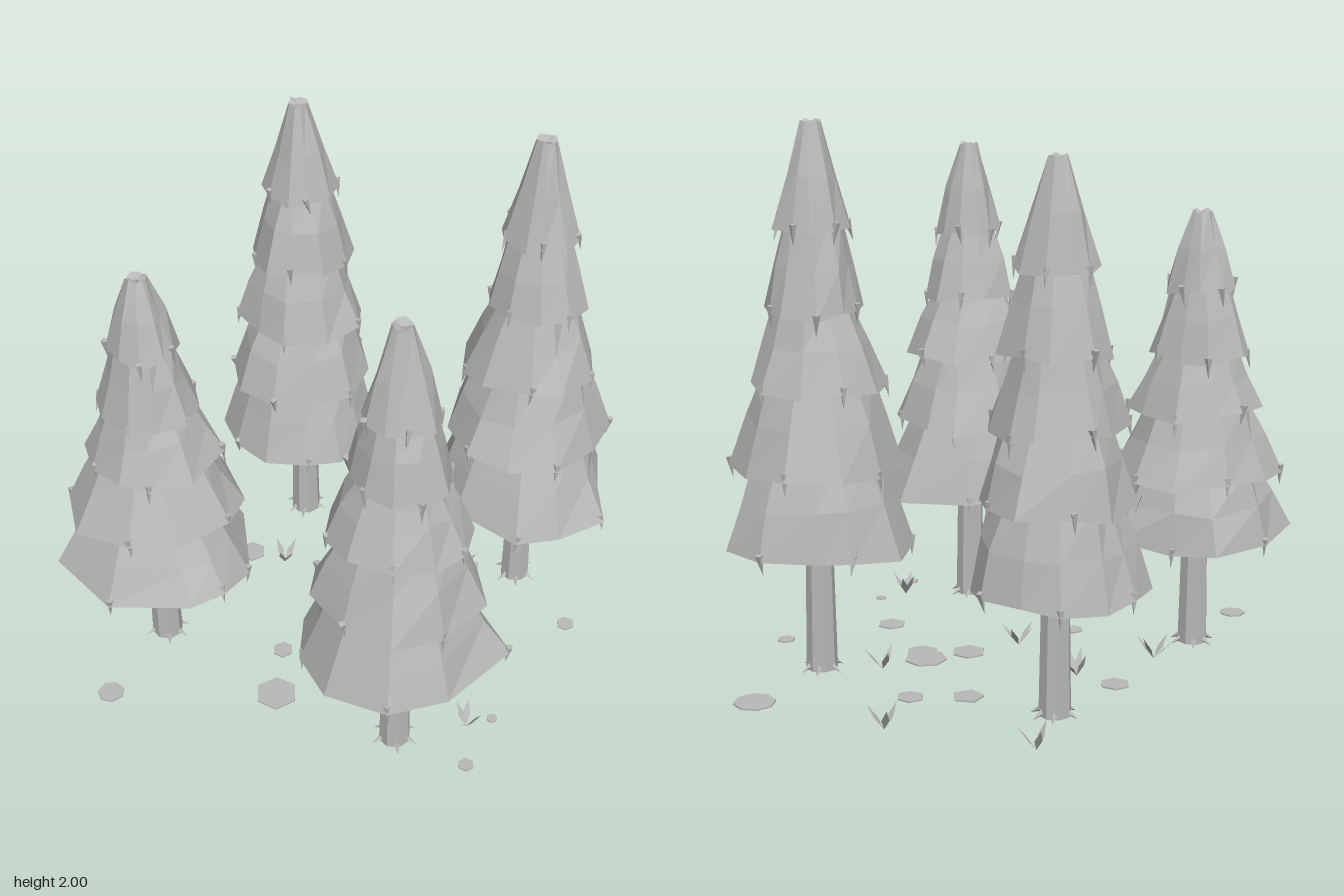
import * as THREE from 'three';

const grey = new THREE.MeshStandardMaterial({ color: 0xb8b8b8, flatShading: true, side: THREE.DoubleSide });
grey.name = 'grey';

// Small seeded random generator, returns -1..1
let seed = 7;
const jitter = () => {
  seed = (seed * 16807) % 2147483647;
  return (seed / 2147483647) * 2 - 1;
};

function add(parent, name, geometry, x = 0, y = 0, z = 0) {
  const mesh = new THREE.Mesh(geometry, grey);
  mesh.name = name;
  mesh.position.set(x, y, z);
  parent.add(mesh);
  return mesh;
}

// Skin a stack of rings (all with the same number of points), bottom to top
function skin(rings) {
  const n = rings[0].length;
  const index = [];
  for (let i = 0; i < rings.length - 1; i++) {
    for (let j = 0; j < n; j++) {
      const a = i * n + j, b = i * n + (j + 1) % n;
      index.push(a, a + n, b, b, a + n, b + n);
    }
  }
  const g = new THREE.BufferGeometry();
  g.setAttribute('position', new THREE.Float32BufferAttribute(rings.flat(2), 3));
  g.setIndex(index);
  g.computeVertexNormals();
  return g;
}

// One skirt of branches: cupped underside, jagged rim, sloping wall, narrow top
function addTier(tree, rim, y, topR, topY, isTop) {
  const rimPts = rim.map(([x, z]) => [x, y + jitter() * 0.02, z]);
  const ring = (r, h, wobble) => rim.map(([x, z]) => {
    const l = Math.hypot(x, z), s = r * (1 + jitter() * wobble) / l;
    return [x * s, h + jitter() * wobble * 0.1, z * s];
  });
  const midY = y + (topY - y) * 0.5;
  const mid = rim.map(([x, z]) => {
    const l = Math.hypot(x, z);
    const s = (l * 0.45 + topR * 0.55 + 0.008 + jitter() * 0.008) / l;
    return [x * s, midY + jitter() * 0.015, z * s];
  });
  const inner = ring(Math.min(0.1, topR * 1.2), y + 0.07, 0.05);
  const rings = [inner, rimPts, mid, ring(topR, topY, 0.1)];
  if (isTop) rings.push(ring(0.004, topY - 0.012, 0));
  add(tree, 'branchTier', skin(rings));

  // Drooping needle tips on every other rim corner
  rimPts.forEach(([x, h, z], i) => {
    if (i % 2) return;
    const tip = add(tree, 'needleTip', new THREE.ConeGeometry(0.014, 0.08, 4).rotateX(Math.PI),
      x * 0.97, h - 0.012, z * 0.97);
    tip.rotation.set(jitter() * 0.2, jitter() * 3, jitter() * 0.2);
  });
}

// Jagged rim for the upper tiers
function makeRim(r, n) {
  const turn = jitter() * 3;
  return Array.from({ length: n }, (_, j) => {
    const a = turn + (j + jitter() * 0.2) / n * Math.PI * 2;
    const l = r * (1 + jitter() * 0.09);
    return [Math.cos(a) * l, Math.sin(a) * l];
  });
}

function addTree(parent, { name, x, z, height, tiers, rim }) {
  const tree = new THREE.Group();
  tree.name = name;
  tree.position.set(x, 0, z);
  parent.add(tree);

  add(tree, 'trunk', new THREE.CylinderGeometry(0.045, 0.058, 0.75, 8), 0, 0.385, 0);
  // Flared roots
  for (let i = 0; i < 6; i++) {
    const a = i / 6 * Math.PI * 2 + jitter() * 0.2;
    const root = add(tree, 'root', new THREE.ConeGeometry(0.018, 0.07, 4), Math.cos(a) * 0.058, 0.022, Math.sin(a) * 0.058);
    root.rotation.set(0, -a, -2.1);
  }

  tiers.forEach(([y, r], i) => {
    const next = tiers[i + 1];
    const edge = i === 0 ? rim.map(([px, pz]) => [px - x, pz - z]) : makeRim(r, 10);
    if (next) addTier(tree, edge, y, next[1] * 0.72, next[0] + 0.04, false);
    else addTier(tree, edge, y, 0.036, height - 0.005, true);
  });
}

// Tree placements, tier heights with radii, and lowest rim corners (x, z)
const TREES = [
  { name: 'backLeftTree', x: -0.465, z: -0.41, height: 1.92,
    tiers: [[0.46, 0.3], [0.76, 0.28], [1.02, 0.24], [1.28, 0.19], [1.55, 0.135]],
    rim: [[-0.17, -0.37], [-0.2, -0.24], [-0.3, -0.16], [-0.46, -0.1], [-0.62, -0.14], [-0.75, -0.25],
      [-0.77, -0.41], [-0.73, -0.53], [-0.62, -0.65], [-0.48, -0.67], [-0.32, -0.66], [-0.2, -0.53]] },
  { name: 'backRightTree', x: 0.48, z: -0.47, height: 2,
    tiers: [[0.49, 0.36], [0.79, 0.31], [1.08, 0.25], [1.34, 0.18], [1.62, 0.135]],
    rim: [[0.86, -0.39], [0.75, -0.22], [0.62, -0.12], [0.35, -0.16], [0.2, -0.27], [0.13, -0.46],
      [0.2, -0.65], [0.32, -0.7], [0.5, -0.79], [0.68, -0.75], [0.76, -0.56]] },
  { name: 'frontLeftTree', x: -0.56, z: 0.49, height: 1.66,
    tiers: [[0.44, 0.34], [0.68, 0.3], [0.92, 0.245], [1.13, 0.18], [1.37, 0.13]],
    rim: [[-0.2, 0.6], [-0.27, 0.72], [-0.55, 0.84], [-0.84, 0.75], [-0.86, 0.47], [-0.79, 0.18],
      [-0.6, 0.2], [-0.38, 0.19], [-0.2, 0.43]] },
  { name: 'frontRightTree', x: 0.472, z: 0.54, height: 1.86,
    tiers: [[0.46, 0.35], [0.75, 0.29], [1.02, 0.24], [1.26, 0.175], [1.51, 0.13]],
    rim: [[0.83, 0.36], [0.75, 0.68], [0.6, 0.84], [0.36, 0.85], [0.19, 0.73], [0.12, 0.58],
      [0.3, 0.27], [0.58, 0.19]] },
];

// Flat stones: x, z, radius, sides
const STONES = [
  [0.49, -0.85, 0.075, 8], [0.05, -0.53, 0.05, 6], [-0.12, -0.42, 0.058, 5], [0.21, -0.19, 0.08, 7],
  [0.26, -0.14, 0.06, 6], [0.11, -0.05, 0.065, 6], [-0.51, -0.05, 0.055, 6], [0.53, 0.05, 0.055, 6],
  [-0.11, 0.365, 0.04, 6], [-0.015, 0.57, 0.08, 6], [-0.56, 0.87, 0.05, 7], [0.745, 0.285, 0.02, 8],
  [0.78, -0.3, 0.035, 6], [0.76, 0.53, 0.03, 6],
];

// Grass tufts: x, z, blade count
const TUFTS = [
  [-0.04, -0.82, 5], [-0.02, 0.1, 4], [-0.36, -0.06, 4], [-0.56, -0.7, 3],
  [0.68, 0.37, 4], [0.28, -0.37, 3], [-0.52, 0.24, 4],
];

export function createModel() {
  seed = 7;
  const model = new THREE.Group();
  model.name = 'pineGrove';

  TREES.forEach((t) => addTree(model, t));

  STONES.forEach(([x, z, r, sides]) => {
    add(model, 'flatStone', new THREE.CylinderGeometry(r, r, 0.006, sides).rotateY(Math.PI / 2), x, 0.005, z);
  });

  // Diamond shaped grass blade
  const blade = new THREE.Shape([[0, 0], [0.014, 0.05], [0, 0.105], [-0.014, 0.05]]
    .map(([x, y]) => new THREE.Vector2(x, y)));
  TUFTS.forEach(([x, z, count]) => {
    const tuft = new THREE.Group();
    tuft.name = 'grassTuft';
    tuft.position.set(x, 0.01, z);
    for (let i = 0; i < count; i++) {
      const g = new THREE.ShapeGeometry(blade).rotateX(0.65 + jitter() * 0.2);
      add(tuft, 'grassBlade', g.rotateY((i + jitter() * 0.3) / count * Math.PI * 2));
    }
    model.add(tuft);
  });

  return model;
}
